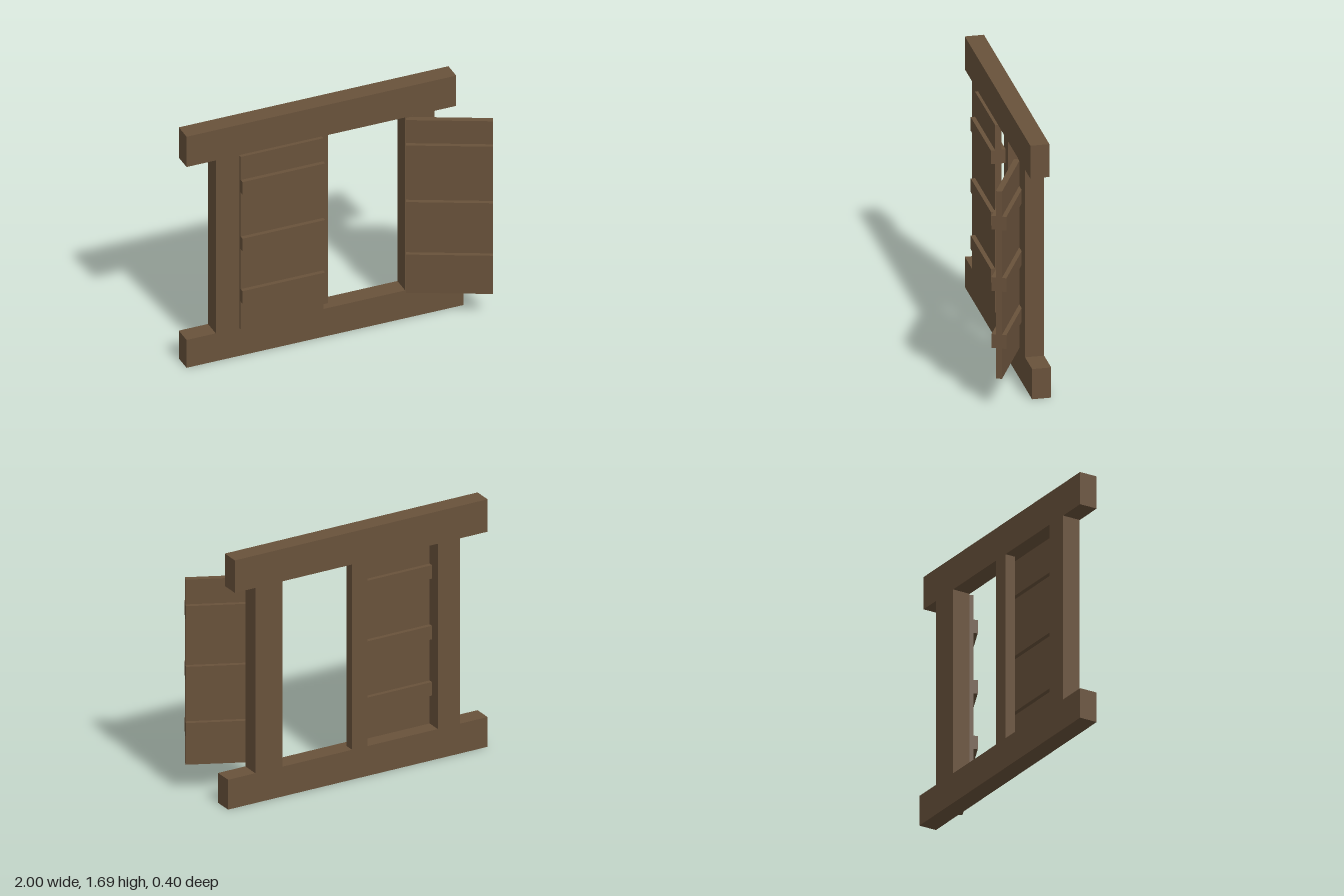
import * as THREE from 'three';

const wood = new THREE.MeshStandardMaterial({ color: 0x69523b });
wood.name = 'brown wood';

// Box given by its minimum and maximum on each axis
function box(name, [x0, x1], [y0, y1], [z0, z1]) {
  const mesh = new THREE.Mesh(new THREE.BoxGeometry(x1 - x0, y1 - y0, z1 - z0), wood);
  mesh.name = name;
  mesh.position.set((x0 + x1) / 2, (y0 + y1) / 2, (z0 + z1) / 2);
  return mesh;
}

// Board panel with three battens on each face, centred on its own x and z
function shutter(name, width) {
  const group = new THREE.Group();
  group.name = name;
  const half = width / 2, inner = 0.0195, outer = 0.0475;
  group.add(box('panel', [-half, half], [0.2, 1.46], [-inner, inner]));
  for (const y of [0.45, 0.833, 1.246]) {
    const h = [y - 0.046, y + 0.046];
    group.add(box('frontBatten', [-half, half], h, [inner, outer]));
    group.add(box('backBatten', [-half, half], h, [-outer, -inner]));
  }
  return group;
}

export function createModel() {
  const model = new THREE.Group();
  model.name = 'shutteredWindow';
  const depth = [-0.2, -0.078];
  const opening = [0.203, 1.465];

  // Frame: two long beams, two full posts and a thin middle post
  model.add(
    box('bottomBeam', [-1, 0.877], [0, 0.203], depth),
    box('topBeam', [-1, 0.828], [1.465, 1.686], depth),
    box('outerPost', [-0.802, -0.64], opening, depth),
    box('middlePost', [-0.13, -0.02], opening, [-0.2, -0.13]),
    box('hingePost', [0.482, 0.68], opening, depth),
  );

  // Closed shutter set in the frame
  const closed = shutter('closedShutter', 0.56);
  closed.position.set(-0.36, 0, -0.081);
  model.add(closed);

  // Open shutter swung outwards
  const open = shutter('openShutter', 0.54);
  open.position.set(0.731, 0, 0.042);
  open.rotation.y = -THREE.MathUtils.degToRad(25);
  model.add(open);

  return model;
}
